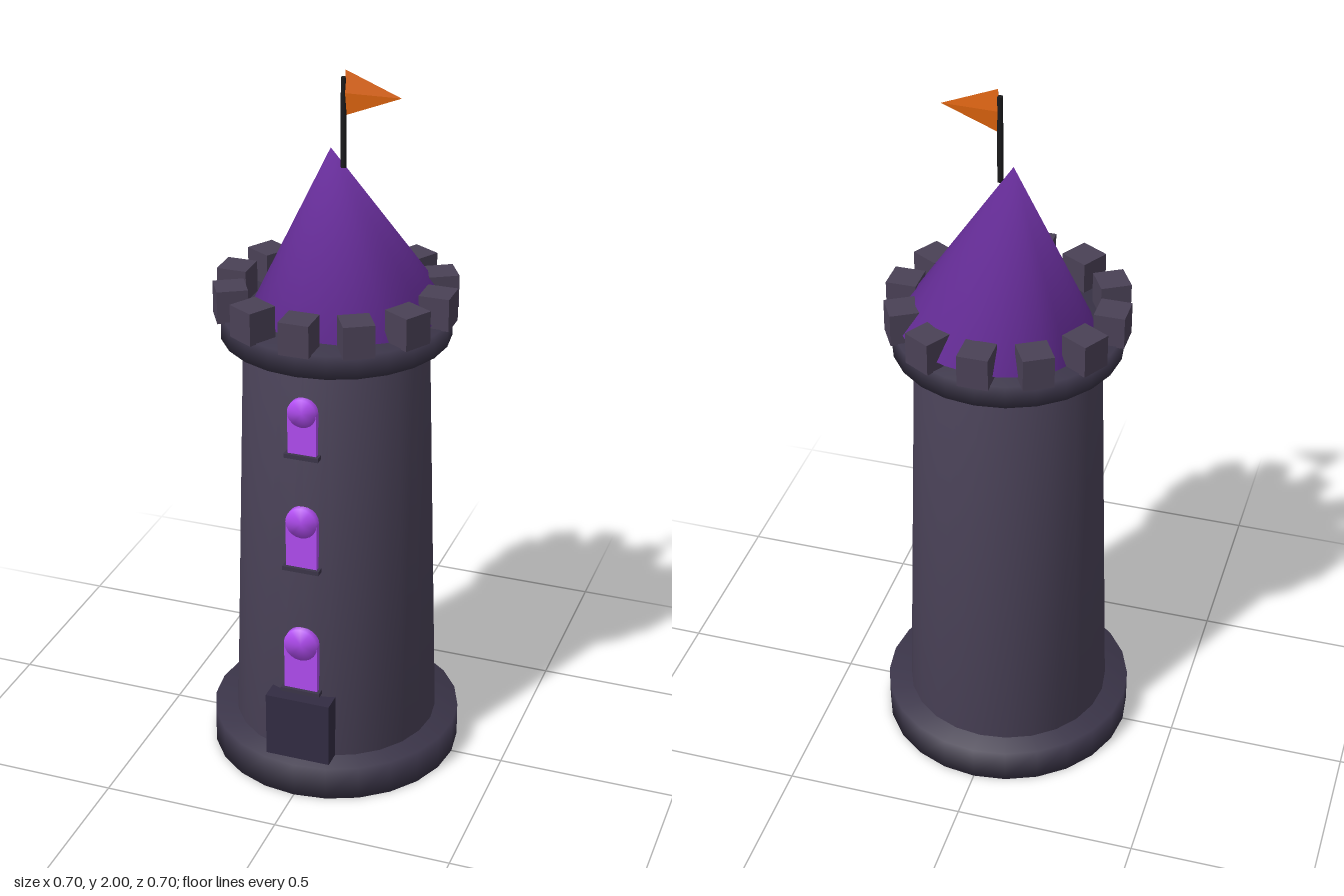
import * as THREE from 'three';
import { mergeVertices } from 'three/addons/utils/BufferGeometryUtils.js';

const mat = (color, flatShading = false) => new THREE.MeshStandardMaterial({ color, flatShading });
const stone = mat(0x4a4258), trim = mat(0x3b3549), merlonStone = mat(0x4a4156), doorWood = mat(0x322c42);
const roofPurple = mat(0x6a2f9e), glass = mat(0xb04cf0), iron = mat(0x1a1a1c), cloth = mat(0xe0660f, true);

// Weld the rim so that sides and caps share soft normals
function soften(geometry) {
  geometry.deleteAttribute('normal');
  geometry.deleteAttribute('uv');
  const welded = mergeVertices(geometry);
  welded.computeVertexNormals();
  return welded;
}

export function createModel() {
  const root = new THREE.Group();

  function add(name, geometry, material, x, y, z, parent = root) {
    const mesh = new THREE.Mesh(geometry, material);
    mesh.name = name;
    mesh.position.set(x, y, z);
    parent.add(mesh);
    return mesh;
  }
  // Round section of the tower between two heights
  function drum(name, rTop, rBottom, y0, y1, material) {
    const geometry = soften(new THREE.CylinderGeometry(rTop, rBottom, y1 - y0, 24));
    return add(name, geometry, material, 0, (y0 + y1) / 2, 0);
  }

  // Plinth, tapered shaft and parapet
  drum('plinth', 0.352, 0.352, 0, 0.1, trim);
  drum('towerShaft', 0.25, 0.288, 0.05, 1.3, stone);
  drum('parapet', 0.31, 0.31, 1.27, 1.335, trim);

  // Ring of merlons
  const merlons = new THREE.Group();
  merlons.name = 'battlements';
  root.add(merlons);
  const merlonBox = new THREE.BoxGeometry(0.083, 0.09, 0.083);
  for (let i = 0; i < 12; i++) {
    const a = (i / 12) * Math.PI * 2;
    const merlon = add('merlon', merlonBox, merlonStone, Math.sin(a) * 0.283, 1.377, Math.cos(a) * 0.283, merlons);
    merlon.rotation.y = a;
  }

  // Slightly crooked roof
  const roof = add('roof', soften(new THREE.ConeGeometry(0.268, 0.46, 24)), roofPurple, 0.005, 1.56, -0.005);
  roof.rotation.set(0.085, 0, 0.065);

  // Flagpole and flat, tapering pennant
  add('flagpole', new THREE.CylinderGeometry(0.008, 0.008, 0.24, 8), iron, 0.026, 1.86, 0.017);
  const pennant = new THREE.ConeGeometry(0.06, 0.15, 4);
  pennant.rotateZ(-Math.PI / 2);
  pennant.scale(1, 1, 0.1);
  add('pennant', pennant, cloth, 0.106, 1.94, 0.017);

  // Door
  add('door', new THREE.BoxGeometry(0.185, 0.19, 0.06), doorWood, 0, 0.195, 0.29);

  // Arched windows, smaller towards the top: sill height, half width, arch centre, front z
  const windows = [
    [0.305, 0.048, 0.453, 0.291],
    [0.685, 0.044, 0.826, 0.28],
    [1.02, 0.04, 1.146, 0.27],
  ];
  for (const [sillY, half, archY, front] of windows) {
    const win = new THREE.Group();
    win.name = 'window';
    root.add(win);
    add('windowPane', new THREE.BoxGeometry(half * 2, archY - sillY, 0.04), glass, 0, (archY + sillY) / 2, front - 0.022, win);
    const arch = soften(new THREE.CylinderGeometry(half, half, 0.04, 20));
    arch.rotateX(Math.PI / 2);
    add('windowArch', arch, glass, 0, archY, front - 0.02, win);
    add('windowSill', new THREE.BoxGeometry(half * 2 + 0.016, 0.012, 0.05), trim, 0, sillY, front - 0.018, win);
  }

  return root;
}
